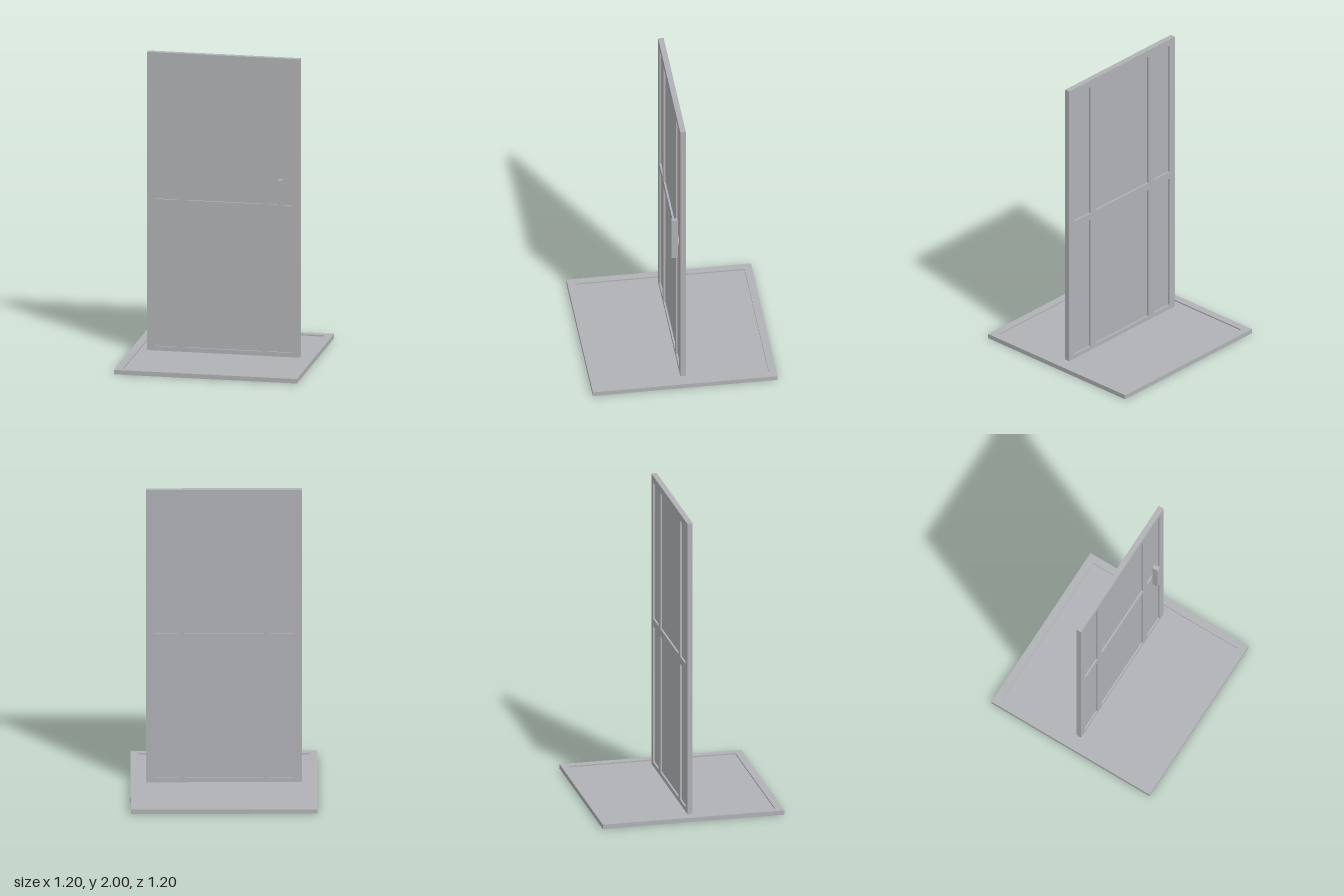
import * as THREE from 'three';

const grey = new THREE.MeshStandardMaterial({ color: 0xb0b2b5 });
grey.name = 'grey';

// Trace a rectangle into a Shape or Path
function rect(path, x0, y0, x1, y1) {
  path.moveTo(x0, y0);
  path.lineTo(x1, y0);
  path.lineTo(x1, y1);
  path.lineTo(x0, y1);
  path.closePath();
  return path;
}

// Framed slab: a solid border with openings, each closed by a thinner panel
function framedSlab(name, outer, openings, depth, panelDepth) {
  const group = new THREE.Group();
  group.name = name;
  const shape = rect(new THREE.Shape(), ...outer);
  openings.forEach((o) => shape.holes.push(rect(new THREE.Path(), ...o)));
  const geometry = new THREE.ExtrudeGeometry(shape, { depth, bevelEnabled: false });
  geometry.translate(0, 0, -depth / 2);
  const frame = new THREE.Mesh(geometry, grey);
  frame.name = name + 'Frame';
  group.add(frame);
  openings.forEach(([x0, y0, x1, y1], i) => {
    const panel = new THREE.Mesh(new THREE.BoxGeometry(x1 - x0, y1 - y0, panelDepth), grey);
    panel.name = name + 'Panel' + (i + 1);
    panel.position.set((x0 + x1) / 2, (y0 + y1) / 2, 0);
    group.add(panel);
  });
  return group;
}

export function createModel() {
  const model = new THREE.Group();
  model.name = 'door';

  // Door leaf: three columns and two rows of recessed panels
  const openings = [];
  for (const [x0, x1] of [[-0.45, -0.3], [-0.25, 0.25], [0.3, 0.45]]) {
    for (const [y0, y1] of [[0.05, 0.977], [1.027, 1.953]]) openings.push([x0, y0, x1, y1]);
  }
  model.add(framedSlab('doorLeaf', [-0.5, 0, 0.5, 2], openings, 0.036, 0.012));

  // Square floor plate with a recessed centre
  const base = framedSlab('base', [-0.6, -0.6, 0.6, 0.6], [[-0.55, -0.55, 0.55, 0.55]], 0.03, 0.012);
  base.rotation.x = -Math.PI / 2;
  base.position.y = 0.015;
  model.add(base);

  // Pull handle on the front
  const handle = new THREE.Mesh(new THREE.BoxGeometry(0.027, 0.3, 0.04), grey);
  handle.name = 'handle';
  handle.position.set(0.377, 1.05, 0.038);
  model.add(handle);

  return model;
}
